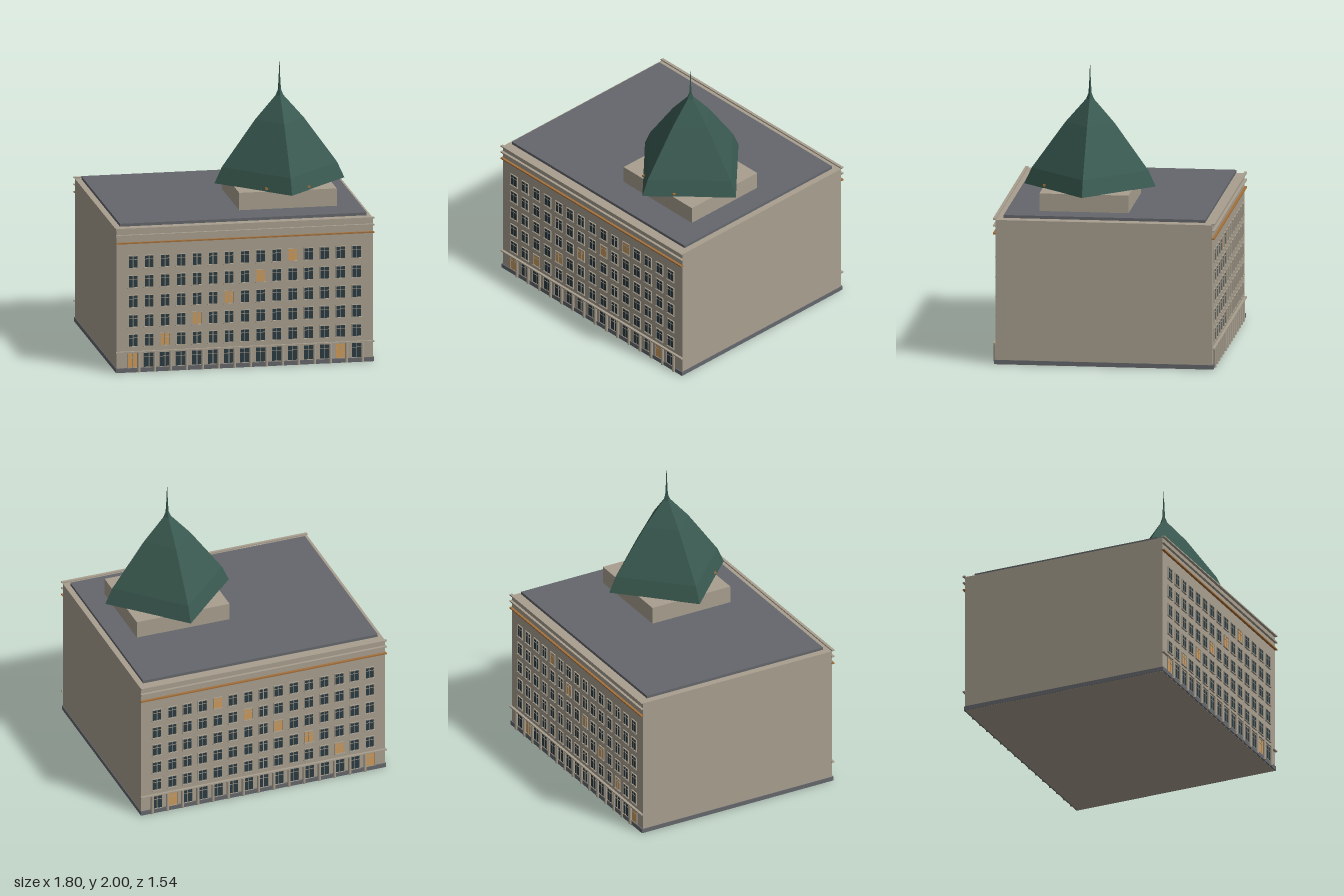
import * as THREE from 'three';
import { mergeGeometries } from 'three/addons/utils/BufferGeometryUtils.js';

const mat = (name, color, extra = {}) => {
  const m = new THREE.MeshStandardMaterial({ color, ...extra });
  m.name = name;
  return m;
};

// Box given by its centre and size
const box = (x, y, z, w, h, d) => new THREE.BoxGeometry(w, h, d).translate(x, y, z);

export function createModel() {
  const stone = mat('stone', 0xa89f8f);
  const slate = mat('slate', 0x64676c);
  const copper = mat('green copper', 0x3a5a51, { flatShading: true });
  const glass = mat('dark glass', 0x2a3a42);
  const lamp = mat('lit glass', 0xd09a58);
  const bronze = mat('bronze', 0xa3703c);

  const model = new THREE.Group();
  model.name = 'building';
  const add = (name, material, geos, parent = model) => {
    const mesh = new THREE.Mesh(mergeGeometries([geos].flat()), material);
    mesh.name = name;
    parent.add(mesh);
  };

  // Main block, plinth and roof
  add('walls', stone, box(0, 0.504, 0, 1.79, 1.008, 1.494));
  add('plinth', slate, box(0, 0.016, 0, 1.798, 0.03, 1.512));
  add('roofSlab', slate, box(0, 1.027, 0, 1.72, 0.02, 1.39));

  // Facade facing +z; side -1 swaps x so that the back lines up with the front
  const wallZ = 0.747;
  const columns = 15, step = 0.1114;
  const rows = [0.225, 0.362, 0.5, 0.64, 0.778];
  const facade = (side) => {
    const g = new THREE.Group();
    g.name = side > 0 ? 'frontFacade' : 'backFacade';
    const dark = [], lit = [], frames = [], sills = [], pilasters = [];

    const windowAt = (x, y, w, h, isLit) => {
      const t = 0.005;
      (isLit ? lit : dark).push(box(x, y, wallZ + 0.002, w, h, 0.004));
      for (const s of [-1, 1]) {
        frames.push(box(x + s * w / 2, y, wallZ + 0.004, t, h + t, 0.008));
        frames.push(box(x, y + s * h / 2, wallZ + 0.004, w + t, t, 0.008));
      }
      // Mullion and transom
      frames.push(box(x, y, wallZ + 0.0035, 0.004, h, 0.006));
      frames.push(box(x, y + h * 0.2, wallZ + 0.0035, w, 0.003, 0.006));
    };

    for (let i = 0; i < columns; i++) {
      const x = (i - 7) * step * side;
      rows.forEach((y, r) => {
        windowAt(x, y, 0.064, 0.086, i === 2 + 2 * r);
        sills.push(box(x, y - 0.046, wallZ + 0.006, 0.074, 0.006, 0.012));
      });
      windowAt(x, 0.085, 0.076, 0.104, i === 0 || i === 13);
      // Round pilaster beside each ground floor window
      pilasters.push(new THREE.CylinderGeometry(0.011, 0.011, 0.138, 10)
        .translate(x + 0.038 * side, 0.072, 0.758));
    }
    add('darkPanes', glass, dark, g);
    add('litPanes', lamp, lit, g);
    add('windowFrames', stone, frames, g);
    add('sills', stone, sills, g);
    add('pilasters', stone, pilasters, g);

    // Horizontal bands
    const band = (y) => box(0, y, 0.755, 1.8, 0.009, 0.02);
    add('stoneBands', stone, [1.014, 0.966, 0.144].map(band), g);
    add('bronzeBand', bronze, band(0.913), g);

    if (side < 0) g.rotation.y = Math.PI;
    model.add(g);
  };
  facade(1);
  facade(-1);

  // Tower, with its four-sided curved roof set corner to the front
  const tower = new THREE.Group();
  tower.name = 'tower';
  tower.position.set(0.355, 0, 0.162);
  model.add(tower);
  add('towerBase', stone, box(0, 1.098, 0, 0.68, 0.123, 0.615), tower);
  const profile = [
    [0, 1.158], [0.453, 1.158], [0.402, 1.27], [0.17, 1.595],
    [0.027, 1.76], [0.011, 1.8], [0.006, 1.88], [0.001, 2],
  ].map(([r, y]) => new THREE.Vector2(r, y));
  add('towerRoof', copper, new THREE.LatheGeometry(profile, 4), tower);
  add('towerLamps', bronze, [-1, 1].map((s) => box(s * 0.147, 1.178, 0.296, 0.02, 0.012, 0.02)), tower);

  return model;
}
